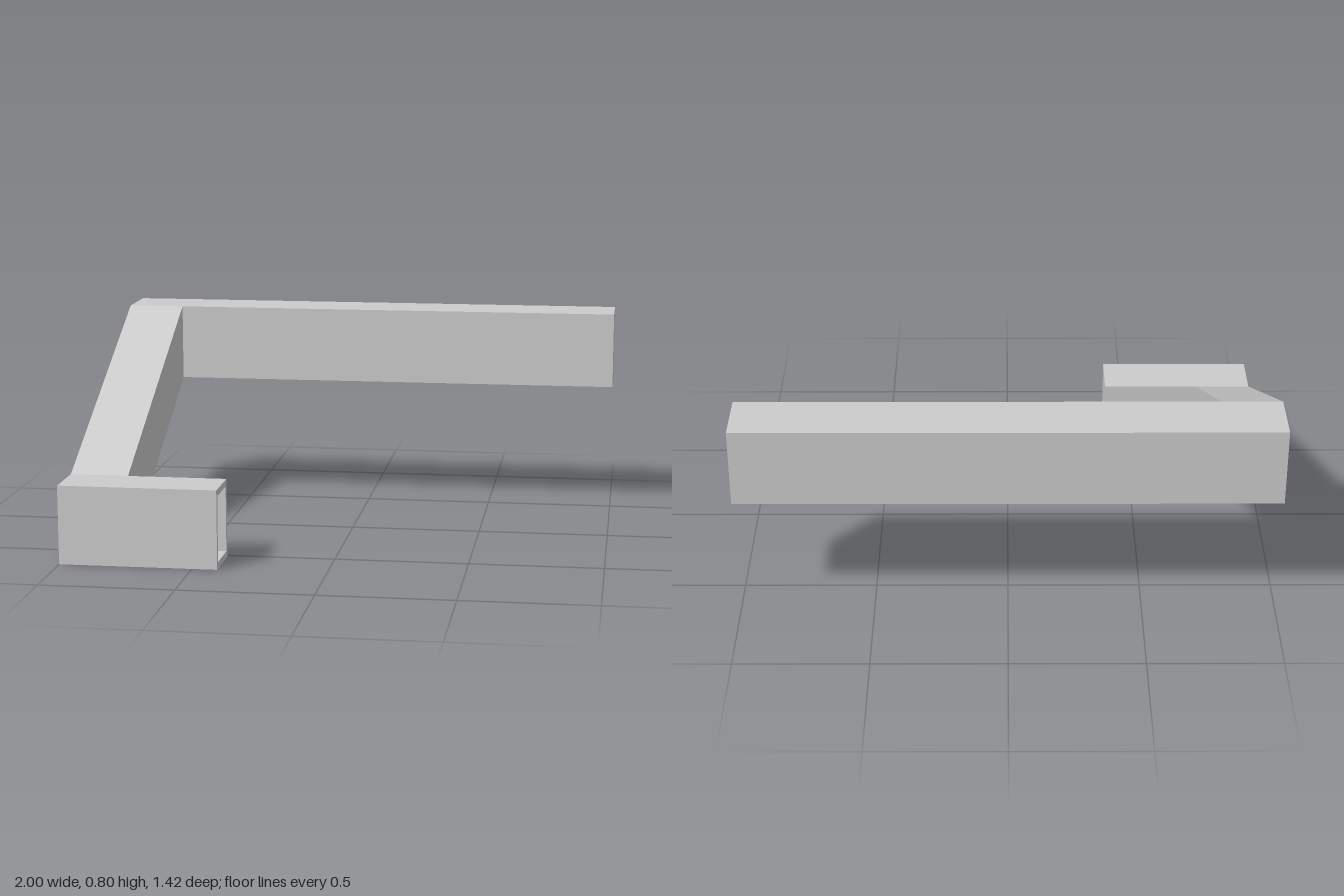
import * as THREE from 'three';

const SIDE = 0.018;   // side wall thickness
const SLAB = 0.025;   // floor and ceiling thickness
const material = new THREE.MeshStandardMaterial({ color: 0xcccccc, flatShading: true });

// Box given by its limits on each axis
function panel(name, [x0, x1], [y0, y1], [z0, z1]) {
  const geometry = new THREE.BoxGeometry(x1 - x0, y1 - y0, z1 - z0);
  geometry.translate((x0 + x1) / 2, (y0 + y1) / 2, (z0 + z1) / 2);
  const mesh = new THREE.Mesh(geometry, material);
  mesh.name = name;
  return mesh;
}

function part(name, ...meshes) {
  const group = new THREE.Group();
  group.name = name;
  group.add(...meshes);
  return group;
}

export function createModel() {
  const left = -1, inner = -0.78;        // stairwell width
  const zLow = 0.515, zHigh = -0.488;    // foot and head of the stairs
  const rise = 0.5, height = 0.298, end = 0.71;
  const low = [SLAB, height - SLAB];
  const high = [rise + SLAB, rise + height - SLAB];

  // Lower hallway, open at its right-hand mouth and towards the stairs
  const lowX = [left, -0.405], lowZ = [zLow, end];
  const lower = part('lowerHallway',
    panel('lowerFloor', lowX, [0, SLAB], lowZ),
    panel('lowerCeiling', lowX, [height - SLAB, height], lowZ),
    panel('lowerFrontWall', lowX, low, [end - SIDE, end]),
    panel('lowerBackWall', [inner - SIDE, lowX[1]], low, [zLow, zLow + SIDE]),
    panel('lowerEndWall', [left, left + SIDE], low, [zLow, end - SIDE]));

  // Upper hallway, closed at its far end
  const upX = [left, 1], upZ = [-end, zHigh];
  const upper = part('upperHallway',
    panel('upperFloor', upX, [rise, rise + SLAB], upZ),
    panel('upperCeiling', upX, [rise + height - SLAB, rise + height], upZ),
    panel('upperBackWall', upX, high, [-end, -end + SIDE]),
    panel('upperFrontWall', [inner - SIDE, 1], high, [zHigh - SIDE, zHigh]),
    panel('upperNearEndWall', [left, left + SIDE], high, [-end + SIDE, zHigh]),
    panel('upperFarEndWall', [1 - SIDE, 1], high, [-end + SIDE, zHigh - SIDE]));

  // Sloping stairwell: straight panels sheared upwards towards the back
  const wellX = [left, inner], wellZ = [zHigh, zLow];
  const well = part('stairwell',
    panel('slopingFloor', wellX, [0, SLAB], wellZ),
    panel('slopingCeiling', wellX, [height - SLAB, height], wellZ),
    panel('outerStairWall', [left, left + SIDE], low, wellZ),
    panel('innerStairWall', [inner - SIDE, inner], low, wellZ));
  for (const { geometry } of well.children) {
    const p = geometry.attributes.position;
    for (let i = 0; i < p.count; i++) {
      p.setY(i, p.getY(i) + rise * (zLow - p.getZ(i)) / (zLow - zHigh));
    }
    geometry.computeVertexNormals();
  }

  // Steps, whose back lower edges show through the sloping floor
  const stairs = part('stairs');
  const count = 20, tread = (zLow - zHigh) / count, riser = rise / count;
  for (let i = 0; i < count; i++) {
    const z = zLow - tread * i;
    stairs.add(panel('step' + (i + 1), [left + SIDE, inner - SIDE],
      [riser * i, riser * (i + 2)], [z - tread / 2, Math.min(z + tread / 2, zLow)]));
  }

  return part('stairCorridor', lower, upper, well, stairs);
}
